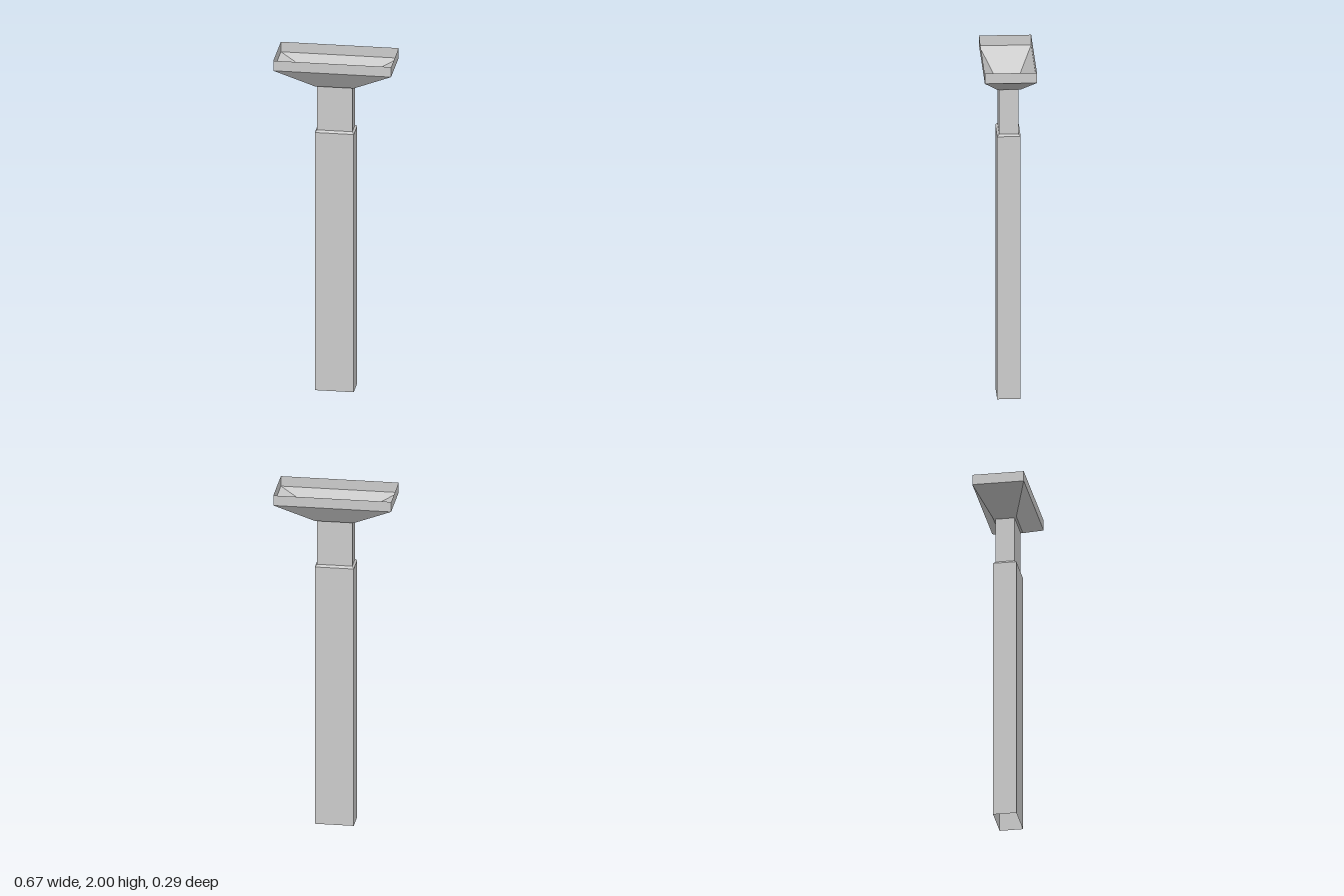
import * as THREE from 'three';

// Open rectangular sleeve through cross-sections [halfWidth, halfDepth, y], bottom to top
function sleeve(name, sections, material) {
  const corners = [[1, 1], [1, -1], [-1, -1], [-1, 1]];
  const positions = [];
  const point = ([w, d, y], c) => [corners[c % 4][0] * w, y, corners[c % 4][1] * d];
  for (let i = 0; i < sections.length - 1; i++) {
    const low = sections[i], high = sections[i + 1];
    for (let c = 0; c < 4; c++) {
      const a = point(low, c), b = point(low, c + 1);
      const e = point(high, c + 1), f = point(high, c);
      positions.push(...a, ...b, ...e, ...a, ...e, ...f);
    }
  }
  const geometry = new THREE.BufferGeometry();
  geometry.setAttribute('position', new THREE.Float32BufferAttribute(positions, 3));
  geometry.computeVertexNormals();
  const mesh = new THREE.Mesh(geometry, material);
  mesh.name = name;
  return mesh;
}

export function createModel() {
  const metal = new THREE.MeshStandardMaterial({ color: 0xcccccc, side: THREE.DoubleSide });
  metal.name = 'sheet metal grey';

  const model = new THREE.Group();
  model.name = 'downpipe with hopper';

  // Lower pipe, open at the foot, with a small bevelled shoulder
  model.add(sleeve('lowerPipe', [
    [0.11, 0.066, 0], [0.11, 0.066, 1.55], [0.1, 0.054, 1.562],
  ], metal));

  // Narrower neck
  model.add(sleeve('neck', [[0.1, 0.054, 1.562], [0.1, 0.054, 1.826]], metal));

  // Open hopper: ledge, flared walls and upright rim
  model.add(sleeve('hopper', [
    [0.1, 0.054, 1.826], [0.111, 0.066, 1.828], [0.333, 0.146, 1.94], [0.333, 0.146, 2],
  ], metal));

  return model;
}
